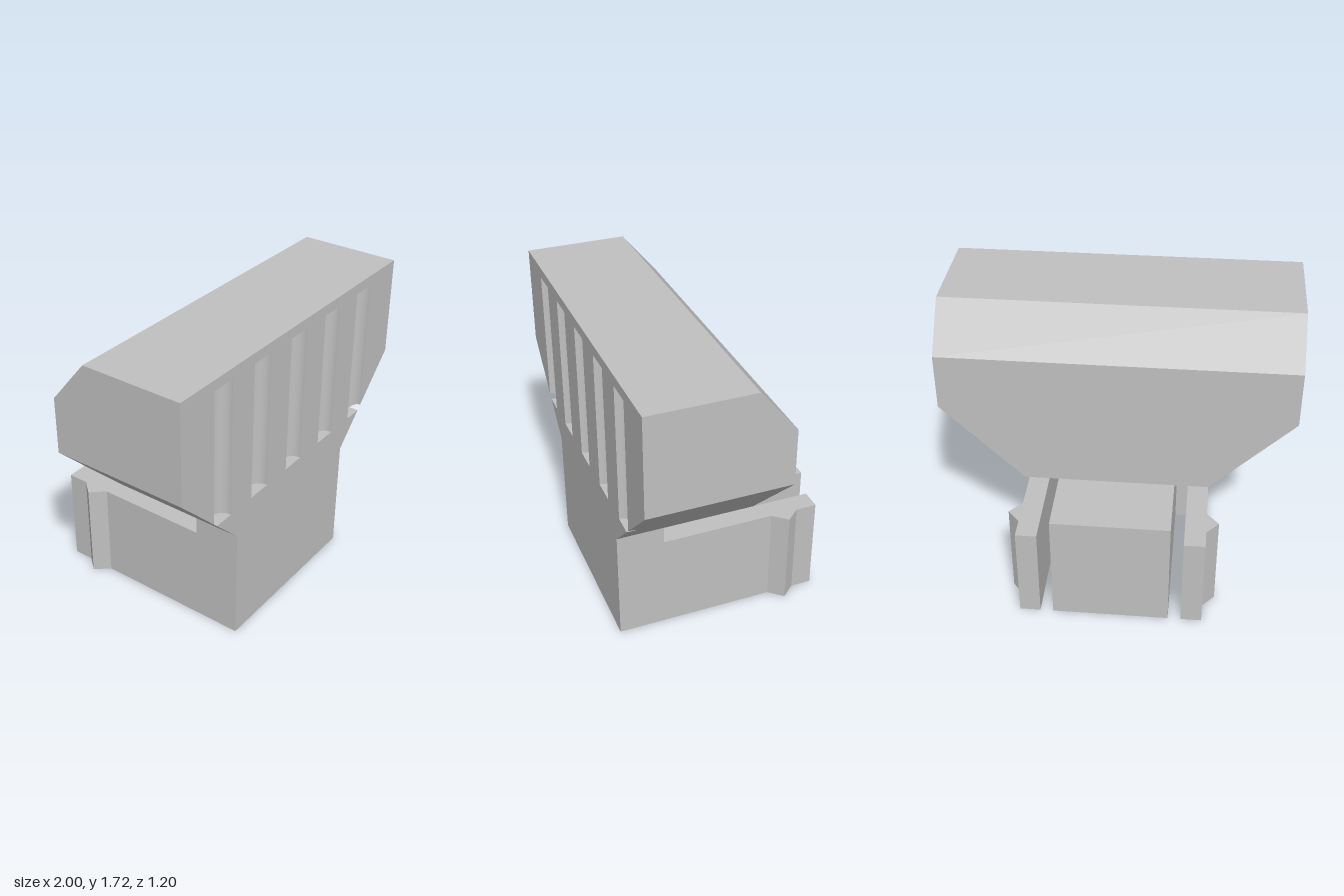
import * as THREE from 'three';

const TOP = 1.715, NECK = 0.67, HALF = 0.53, FRONT = 0.6, BACK = -0.2;
const R = 0.074, G0 = 0.85, G1 = 1.655;       // grip groove radius, bottom and top
const K = (1.135 - NECK) / (1 - HALF);        // steepness of the flared sides
const slopeY = x => NECK + (Math.abs(x) - HALF) * K;
const CUT = HALF + (G0 - NECK) / K;           // where the groove floor meets the flare

export function createModel() {
  const gray = new THREE.MeshStandardMaterial({ color: 0xc0c0c0 });
  gray.name = 'gray plastic';
  const model = new THREE.Group();
  model.name = 'plugHousing';
  const head = new THREE.Group();
  head.name = 'head';
  const base = new THREE.Group();
  base.name = 'base';
  model.add(head, base);

  const add = (group, name, geometry) => {
    const mesh = new THREE.Mesh(geometry, gray);
    mesh.name = name;
    group.add(mesh);
    return mesh;
  };
  const toShape = pts => new THREE.Shape(pts.map(p => new THREE.Vector2(p[0], p[1])));

  // Flat face: a 2D outline placed in space by map(u, v), where u x v points outward
  const face = (name, outline, map, holes = []) => {
    const shape = toShape(outline);
    shape.holes = holes.map(toShape);
    const geo = new THREE.ShapeGeometry(shape);
    const p = geo.attributes.position;
    for (let i = 0; i < p.count; i++) p.setXYZ(i, ...map(p.getX(i), p.getY(i)));
    geo.computeVertexNormals();
    return add(head, name, geo);
  };
  const rect = (a, b, c, d) => [[a, c], [b, c], [b, d], [a, d]];

  // Points on a groove's semicircle between two x values, as [x, z]
  const arc = (cx, xa, xb, n = 16) => {
    const angle = x => Math.acos(THREE.MathUtils.clamp((x - cx) / R, -1, 1));
    return Array.from({ length: n + 1 }, (_, i) => {
      const a = THREE.MathUtils.lerp(angle(xa), angle(xb), i / n);
      return [cx + R * Math.cos(a), FRONT - R * Math.sin(a)];
    });
  };

  // Front face: outer grooves break through the flare, inner ones are holes
  const C = 0.664, EDGE = C + R;
  const side = [[HALF, NECK], [CUT, G0], [C - R, G0], [C - R, G1], [EDGE, G1],
    [EDGE, slopeY(EDGE)], [1, 1.135], [1, TOP]];
  const mirrored = side.map(([x, y]) => [-x, y]).reverse();
  face('headFront', [...side, ...mirrored], (u, v) => [u, v, FRONT],
    [-C / 2, 0, C / 2].map(c => rect(c - R, c + R, G0, G1)));

  // Back, bevel, top and underside
  face('headBack', [[-HALF, NECK], [HALF, NECK], [1, 1.135], [1, 1.46], [-1, 1.46], [-1, 1.135]],
    (u, v) => [-u, v, BACK]);
  face('headBevel', rect(-1, 1, 0, 1),
    (u, v) => [-u, 1.46 + v * (TOP - 1.46), BACK + v * 0.21]);
  face('headTop', rect(-1, 1, -FRONT, -0.01), (u, v) => [u, TOP, -v]);
  face('headUnderside', rect(-HALF, HALF, BACK, FRONT), (u, v) => [u, NECK, v]);

  for (const s of [1, -1]) {
    // Upright ends with the bevelled corner
    face('headEnd', [[-FRONT, 1.135], [-BACK, 1.135], [-BACK, 1.46], [-0.01, TOP], [-FRONT, TOP]],
      (u, v) => (s > 0 ? [1, v, -u] : [-1, v, u]))
      .position.z = 0;
    // Flared sides, notched by the outer grooves
    const notch = arc(C, CUT, EDGE);
    face('flaredSide', [[HALF, BACK], [1, BACK], [1, FRONT], ...notch.reverse(),
      [CUT, FRONT], [HALF, FRONT]].map(([x, z]) => [s * x, z]), (u, v) => [u, slopeY(u), v]);
  }
  // The -x end runs the other way in z, so its outline is turned round
  const ends = head.children.filter(m => m.name === 'headEnd');
  const endPos = ends[1].geometry.attributes.position;
  const index = ends[1].geometry.index;
  for (let i = 0; i < endPos.count; i++) endPos.setZ(i, -endPos.getZ(i));
  for (let i = 0; i < index.count; i += 3) {
    const a = index.getX(i);
    index.setX(i, index.getX(i + 2));
    index.setX(i + 2, a);
  }
  ends[1].geometry.computeVertexNormals();

  // Five half-round grip grooves
  for (let i = -2; i <= 2; i++) {
    const cx = i * C / 2;
    const wall = new THREE.PlaneGeometry(1, 1, 32, 1), p = wall.attributes.position;
    for (let j = 0; j < p.count; j++) {
      const a = Math.PI * (0.5 - p.getX(j));
      const x = cx + R * Math.cos(a);
      p.setXYZ(j, x, p.getY(j) > 0 ? G1 : Math.max(G0, slopeY(x)), FRONT - R * Math.sin(a));
    }
    wall.computeVertexNormals();
    add(head, 'gripGroove', wall);
    const floor = arc(cx, Math.max(cx - R, -CUT), Math.min(cx + R, CUT));
    if (i === 2) floor.push([CUT, FRONT]);
    if (i === -2) floor.unshift([-CUT, FRONT]);
    face('grooveFloor', floor.map(([x, z]) => [x, -z]), (u, v) => [u, G0, -v]);
    face('grooveCeiling', arc(cx, cx - R, cx + R), (u, v) => [u, G1, v]);
  }

  // Base: front block and centre tongue
  const box = (name, w, z0, z1) => add(base, name, new THREE.BoxGeometry(w, NECK, z1 - z0))
    .position.set(0, NECK / 2, (z0 + z1) / 2);
  box('frontBlock', HALF * 2, 0.33, FRONT);
  box('centreTongue', 0.67, -0.6, 0.33);

  // Spring arms with pointed catches, lower than the tongue and split from it by a slot
  for (const s of [1, -1]) {
    const plan = [[0.41, 0.33], [HALF, 0.33], [HALF, -0.32], [0.6, -0.4], [HALF, -0.48],
      [HALF, -0.6], [0.41, -0.6]].map(([x, z]) => [s * x, -z]);
    const arm = new THREE.ExtrudeGeometry(toShape(plan), { depth: 0.57, bevelEnabled: false });
    add(base, s > 0 ? 'leftSpringArm' : 'rightSpringArm', arm.rotateX(-Math.PI / 2));
  }
  return model;
}
